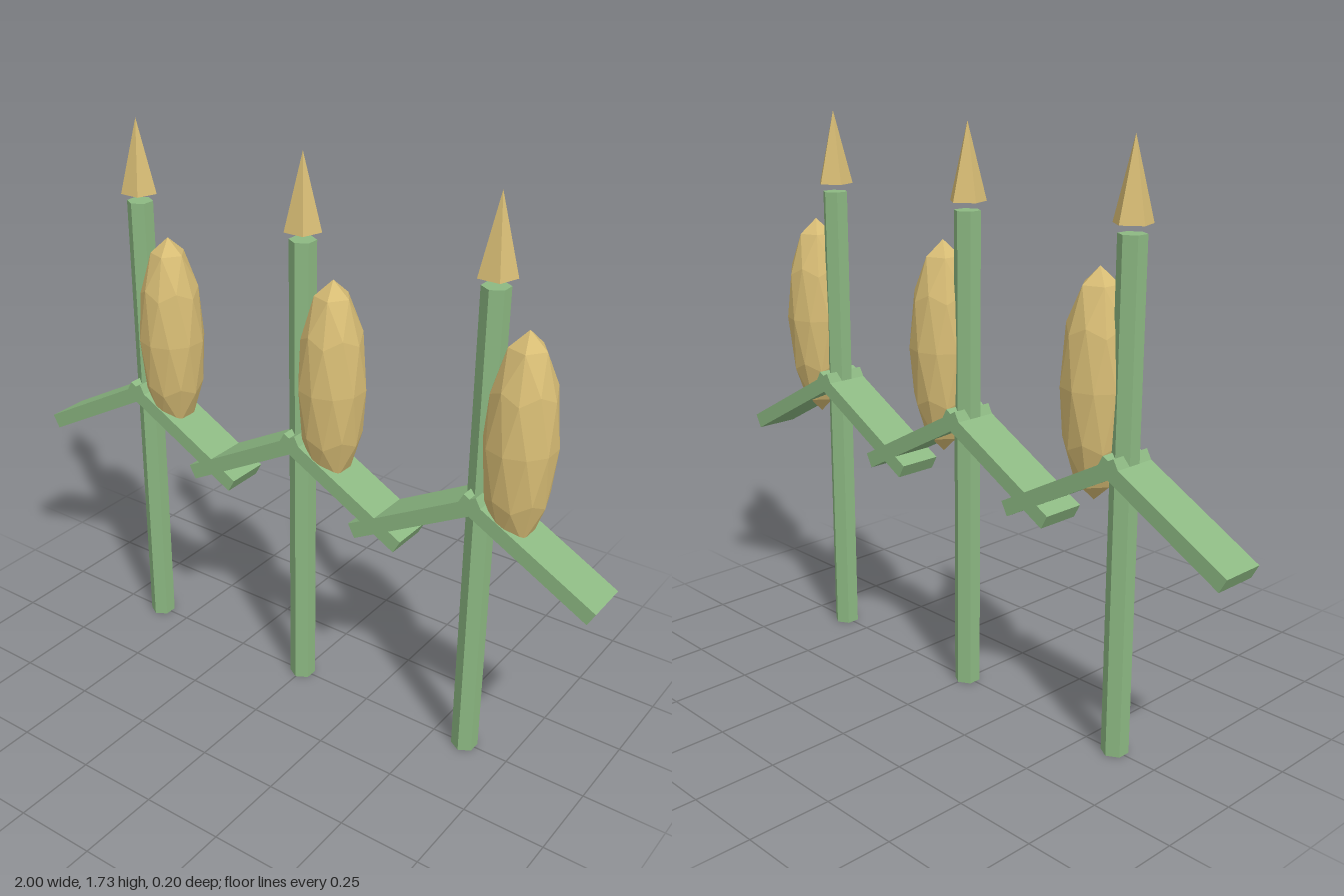
import * as THREE from 'three';

const green = new THREE.MeshStandardMaterial({ color: 0x8cb882, flatShading: true });
green.name = 'leafGreen';
const gold = new THREE.MeshStandardMaterial({ color: 0xd8bd75, flatShading: true });
gold.name = 'grainGold';

function part(name, geometry, material, x, y) {
  const mesh = new THREE.Mesh(geometry, material);
  mesh.name = name;
  mesh.position.set(x, y, 0);
  return mesh;
}

function createStalk() {
  const stalk = new THREE.Group();
  stalk.name = 'stalk';

  // Six-sided stem
  stalk.add(part('stem', new THREE.CylinderGeometry(0.04, 0.04, 1.475, 6), green, 0, 0.7375));

  // Pointed tip floating just above the stem, one corner facing back
  const tip = new THREE.ConeGeometry(0.056, 0.225, 5).rotateY(Math.PI);
  stalk.add(part('tip', tip, gold, 0, 1.6125));

  // Faceted ear of grain: icosphere with a corner up, stretched tall
  const ear = new THREE.IcosahedronGeometry(1, 1)
    .rotateZ(-Math.atan(2 / (1 + Math.sqrt(5))))
    .scale(0.102, 0.324, 0.102);
  stalk.add(part('ear', ear, gold, 0.104, 1.056));

  // Pair of drooping leaves that cross at the stem
  for (const side of [-1, 1]) {
    const leaf = part('leaf', new THREE.BoxGeometry(0.469, 0.047, 0.138), green, side * 0.176, 0.76);
    leaf.rotation.z = -side * 0.5;
    stalk.add(leaf);
  }
  return stalk;
}

export function createModel() {
  const model = new THREE.Group();
  model.name = 'crop';
  for (const x of [-0.607, 0, 0.607]) {
    const stalk = createStalk();
    stalk.position.x = x;
    model.add(stalk);
  }
  return model;
}
